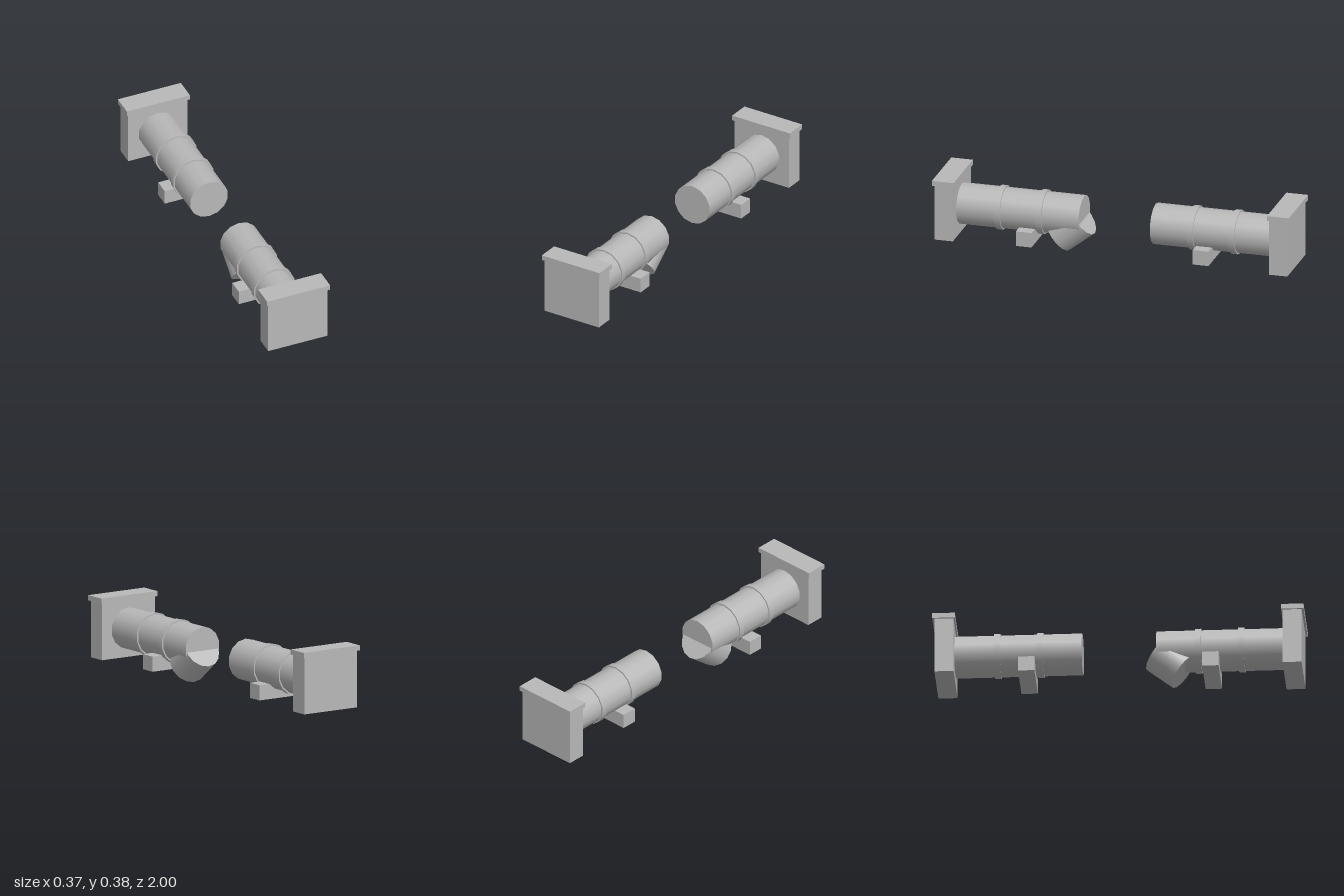
import * as THREE from 'three';

const SIDES = 14;
const AXIS_Y = 0.2025;

export function createModel() {
  const model = new THREE.Group();
  model.name = 'pipeCulvert';
  const grey = new THREE.MeshStandardMaterial({ color: 0xb8b8b8 });
  grey.name = 'concreteGrey';

  const add = (parent, name, geometry, x, y, z) => {
    const mesh = new THREE.Mesh(geometry, grey);
    mesh.name = name;
    mesh.position.set(x, y, z);
    parent.add(mesh);
    return mesh;
  };
  // box given by its width and its y and z ranges
  const box = (parent, name, width, y0, y1, z0, z1) =>
    add(parent, name, new THREE.BoxGeometry(width, y1 - y0, z1 - z0), 0, (y0 + y1) / 2, (z0 + z1) / 2);
  // round part lying along z
  const tube = (parent, name, radius, z0, z1) =>
    add(parent, name, new THREE.CylinderGeometry(radius, radius, z1 - z0, SIDES).rotateX(Math.PI / 2),
      0, AXIS_Y, (z0 + z1) / 2);

  // two matching pipe ends, facing each other across a gap
  for (const front of [true, false]) {
    const half = new THREE.Group();
    half.name = front ? 'frontPipe' : 'backPipe';
    box(half, 'headwall', 0.348, 0.044, 0.356, 0.886, 0.989);
    box(half, 'headwallCap', 0.37, 0.356, 0.384, 0.878, 1.0);
    tube(half, 'pipe', 0.1125, 0.2, 0.9);
    tube(half, 'nearBand', 0.121, 0.408, 0.442);
    tube(half, 'farBand', 0.121, 0.64, 0.674);
    box(half, 'support', 0.3, 0.047, 0.13, 0.452, 0.54);
    if (!front) half.rotation.y = Math.PI;
    model.add(half);
  }

  // slanted stub under the open end of the front pipe
  const stub = add(model, 'slantedStub', new THREE.CylinderGeometry(0.104, 0.104, 0.175, SIDES), 0, 0.137, 0.273);
  stub.rotation.x = THREE.MathUtils.degToRad(128);

  return model;
}
